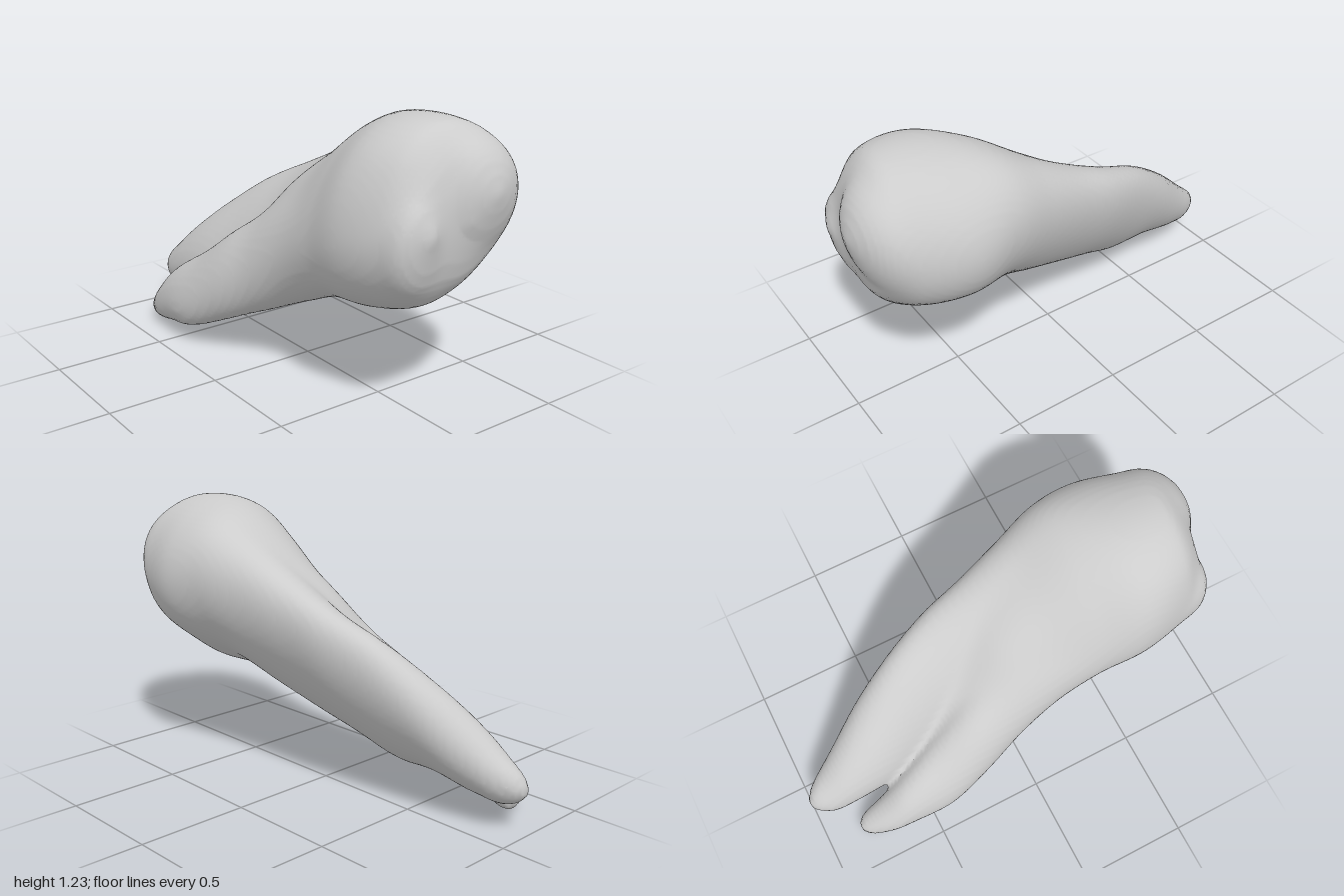
import * as THREE from 'three';

// Cross-sections along the length: z, centre x, centre y, half width, half height, slant
const MAIN_CUSP_AND_ROOT = [
  [-1.0, -0.14, 0.2, 0, 0, 0.2],
  [-0.9, -0.127, 0.222, 0.09, 0.105, 0.25],
  [-0.8, -0.107, 0.275, 0.12, 0.147, 0.3],
  [-0.6, -0.055, 0.382, 0.165, 0.218, 0.5],
  [-0.4, 0, 0.465, 0.185, 0.28, 0.6],
  [-0.2, 0.05, 0.555, 0.2, 0.29, 0.6],
  [0, 0.06, 0.63, 0.23, 0.31, 0.55],
  [0.2, 0.07, 0.72, 0.27, 0.33, 0.45],
  [0.4, 0.08, 0.83, 0.32, 0.335, 0.25],
  [0.6, 0.08, 0.89, 0.35, 0.33, -0.03],
  [0.8, 0.08, 0.915, 0.3, 0.31, -0.1],
  [0.9, 0.1, 0.93, 0.235, 0.235, 0],
  [1.0, 0.13, 0.97, 0, 0, 0],
];
const SIDE_CUSP_AND_SMALL_ROOT = [
  [-0.84, -0.315, 0.06, 0, 0, 0],
  [-0.8, -0.315, 0.064, 0.052, 0.06, 0],
  [-0.7, -0.327, 0.12, 0.08, 0.098, 0.1],
  [-0.6, -0.325, 0.18, 0.097, 0.135, 0.2],
  [-0.4, -0.3, 0.27, 0.13, 0.18, 0.4],
  [-0.2, -0.24, 0.39, 0.15, 0.215, 0.35],
  [0, -0.17, 0.495, 0.165, 0.225, 0.25],
  [0.2, -0.12, 0.6, 0.185, 0.23, 0.1],
  [0.4, -0.09, 0.68, 0.215, 0.245, 0],
  [0.6, -0.07, 0.75, 0.255, 0.295, 0],
  [0.8, -0.07, 0.76, 0.22, 0.24, 0],
  [0.9, -0.13, 0.8, 0.14, 0.18, 0],
  [0.955, -0.15, 0.84, 0, 0, 0],
];
// Core that fills the body between the two lobes, up to where the roots part
const CORE = [
  [-0.64, -0.215, 0.21, 0, 0, 0.2],
  [-0.55, -0.19, 0.235, 0.085, 0.075, 0.3],
  [-0.4, -0.14, 0.28, 0.14, 0.12, 0.4],
  [-0.2, -0.1, 0.42, 0.18, 0.2, 0.4],
  [0, -0.06, 0.57, 0.22, 0.285, 0.35],
  [0.2, -0.02, 0.69, 0.25, 0.315, 0.3],
  [0.4, 0, 0.8, 0.285, 0.335, 0.2],
  [0.6, 0, 0.83, 0.305, 0.36, 0],
  [0.8, 0, 0.85, 0.265, 0.325, 0],
  [0.9, 0.02, 0.86, 0.2, 0.24, 0],
  [0.95, 0.02, 0.87, 0, 0, 0],
];

// Smooth interpolation of a section; squared radii give round tips
function sectionAt(rows, z) {
  const last = rows.length - 1;
  const zc = THREE.MathUtils.clamp(z, rows[0][0], rows[last][0]);
  let i = 0;
  while (i < last - 1 && zc > rows[i + 1][0]) i++;
  const value = (n, k) => (k === 3 || k === 4 ? rows[n][k] ** 2 : rows[n][k]);
  const slope = (n, k) => {
    const a = Math.max(n - 1, 0), b = Math.min(n + 1, last);
    return (value(b, k) - value(a, k)) / (rows[b][0] - rows[a][0]);
  };
  const h = rows[i + 1][0] - rows[i][0], t = (zc - rows[i][0]) / h;
  const t2 = t * t, t3 = t2 * t;
  const [cx, cy, xx, yy, slant] = [1, 2, 3, 4, 5].map((k) =>
    (2 * t3 - 3 * t2 + 1) * value(i, k) + (t3 - 2 * t2 + t) * h * slope(i, k) +
    (3 * t2 - 2 * t3) * value(i + 1, k) + (t3 - t2) * h * slope(i + 1, k));
  return { cx, cy, rx: Math.sqrt(Math.max(xx, 1e-6)), ry: Math.sqrt(Math.max(yy, 1e-6)), slant, beyond: Math.abs(z - zc) };
}

// Signed distance from a slanted ellipse
function ellipseDistance(s, x, y) {
  const dx = x - s.cx, dy = y - s.cy, u = dx / s.rx, v = dy / s.ry;
  const q = Math.sqrt((u * u - 2 * s.slant * u * v + v * v) / (1 - s.slant ** 2));
  if (q < 1e-4) return s.beyond - Math.min(s.rx, s.ry);
  return Math.hypot(dx, dy) * (1 - 1 / q) + s.beyond;
}

function smoothMin(a, b, k) {
  const h = Math.max(k - Math.abs(a - b), 0) / k;
  return Math.min(a, b) - h * h * k * 0.25;
}

// Blended skin over the lobes, meshed on a regular grid
function toothGeometry() {
  const step = 0.02, origin = [-0.53, -0.1, -1.09], size = [54, 73, 110];
  const stride = [1, size[0], size[0] * size[1]];
  const field = new Float32Array(size[0] * size[1] * size[2]);
  for (let k = 0; k < size[2]; k++) {
    const z = origin[2] + k * step;
    const [main, side, core] = [MAIN_CUSP_AND_ROOT, SIDE_CUSP_AND_SMALL_ROOT, CORE].map((rows) => sectionAt(rows, z));
    const blend = THREE.MathUtils.lerp(0.03, 0.07, THREE.MathUtils.smoothstep(z, -0.65, -0.3));
    for (let j = 0; j < size[1]; j++) for (let i = 0; i < size[0]; i++) {
      const x = origin[0] + i * step, y = origin[1] + j * step;
      const lobes = smoothMin(ellipseDistance(main, x, y), ellipseDistance(side, x, y), blend);
      // valley between the two cusps
      const valley = 0.03 * Math.exp(-(((x + 0.04) / 0.07) ** 2) - ((y - 0.98) / 0.15) ** 2 - ((z - 0.94) / 0.1) ** 2);
      field[i + j * stride[1] + k * stride[2]] = smoothMin(lobes, ellipseDistance(core, x, y), blend) + valley;
    }
  }

  // one vertex in each grid cell the skin passes through
  const positions = [], indices = [], cellVertex = new Int32Array(field.length).fill(-1);
  const corner = (n) => [n & 1, (n >> 1) & 1, (n >> 2) & 1];
  const offset = (c) => c[0] * stride[0] + c[1] * stride[1] + c[2] * stride[2];
  const edges = [];
  for (let n = 0; n < 8; n++) for (let axis = 0; axis < 3; axis++) {
    if (!(n & (1 << axis))) edges.push({ c: corner(n), axis, from: offset(corner(n)) });
  }
  const eachCell = (visit) => {
    for (let k = 1; k < size[2] - 1; k++) for (let j = 1; j < size[1] - 1; j++) for (let i = 1; i < size[0] - 1; i++) {
      visit([i, j, k], offset([i, j, k]));
    }
  };
  eachCell((cell, g) => {
    const sum = [0, 0, 0];
    let count = 0;
    for (const e of edges) {
      const f0 = field[g + e.from], f1 = field[g + e.from + stride[e.axis]];
      if ((f0 < 0) === (f1 < 0)) continue;
      for (let d = 0; d < 3; d++) sum[d] += e.c[d] + (d === e.axis ? f0 / (f0 - f1) : 0);
      count++;
    }
    if (!count) return;
    cellVertex[g] = positions.length / 3;
    for (let d = 0; d < 3; d++) positions.push(origin[d] + (cell[d] + sum[d] / count) * step);
  });

  // one quad across each grid edge that crosses the skin
  eachCell((cell, g) => {
    for (let axis = 0; axis < 3; axis++) {
      const inside = field[g] < 0;
      if (inside === (field[g + stride[axis]] < 0)) continue;
      const b = stride[(axis + 1) % 3], c = stride[(axis + 2) % 3];
      const q = [g - b - c, g - c, g, g - b].map((n) => cellVertex[n]);
      if (!inside) q.reverse();
      indices.push(q[0], q[1], q[2], q[0], q[2], q[3]);
    }
  });

  const geometry = new THREE.BufferGeometry();
  geometry.setAttribute('position', new THREE.Float32BufferAttribute(positions, 3));
  geometry.setIndex(indices);
  geometry.computeVertexNormals();
  return geometry;
}

export function createModel() {
  const group = new THREE.Group();
  group.name = 'tooth';
  const enamel = new THREE.MeshStandardMaterial({ color: 0xcccccc });
  enamel.name = 'pale grey enamel';
  const tooth = new THREE.Mesh(toothGeometry(), enamel);
  tooth.name = 'crownAndRoots';
  group.add(tooth);
  return group;
}
